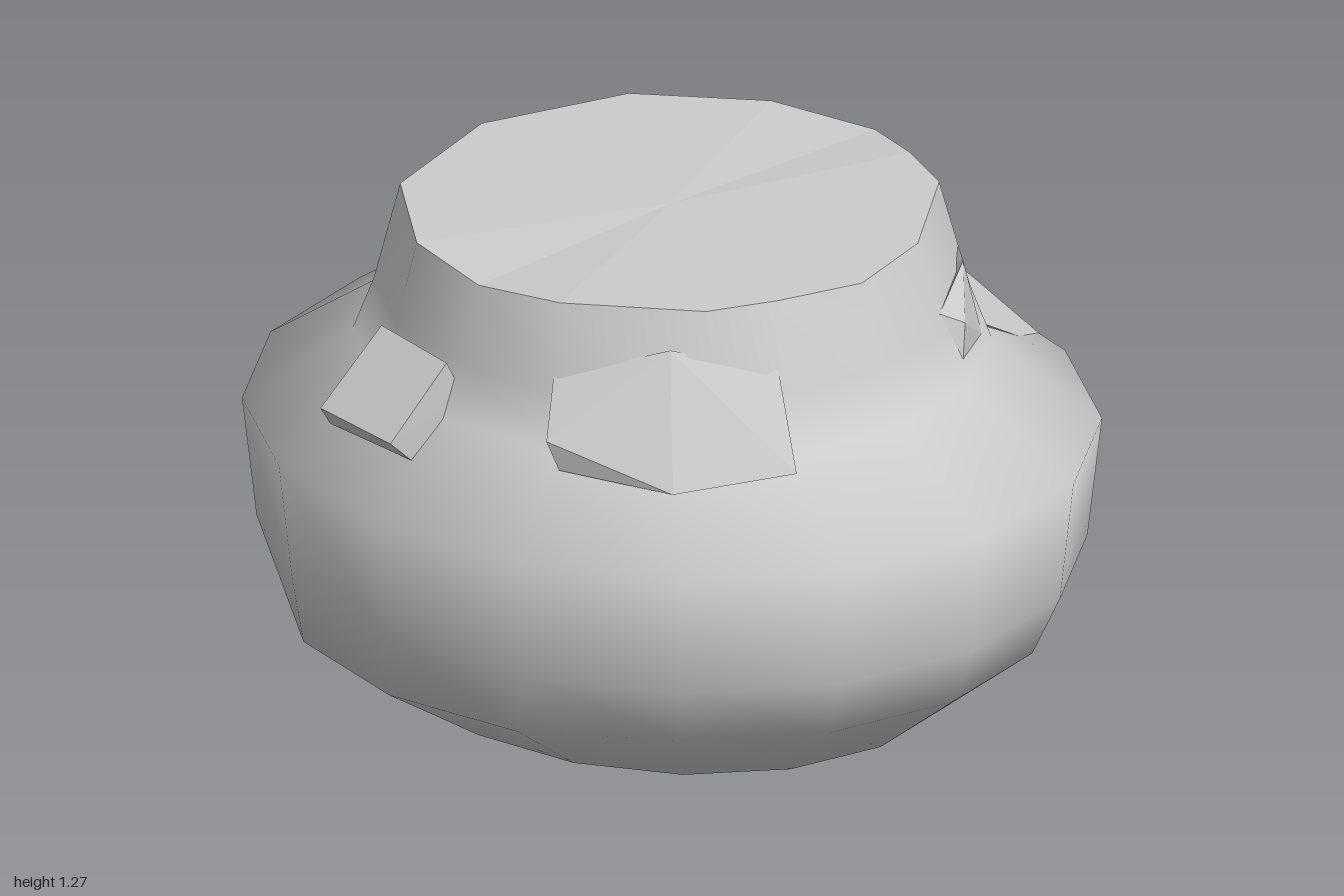
import * as THREE from 'three';
import { ConvexGeometry } from 'three/addons/geometries/ConvexGeometry.js';

const material = new THREE.MeshStandardMaterial({ color: 0xcccccc });
const flat = new THREE.MeshStandardMaterial({ color: 0xcccccc, flatShading: true });
const SIDES = 16;

// Elliptical ring, starting at the back and running towards +x
function ring(y, rx, rz) {
  return Array.from({ length: SIDES }, (_, i) => {
    const a = (i / SIDES) * Math.PI * 2;
    return [rx * Math.sin(a), y, -rz * Math.cos(a)];
  });
}

// Smooth skin from a bottom point through a stack of rings
function loft(rings) {
  const pos = [0, 0, 0, ...rings.flat(2)];
  const index = [];
  for (let i = 0; i < SIDES; i++) {
    const j = (i + 1) % SIDES;
    index.push(0, 1 + i, 1 + j);
    for (let r = 0; r < rings.length - 1; r++) {
      const a = 1 + r * SIDES, b = a + SIDES;
      index.push(a + i, b + i, b + j, a + i, b + j, a + j);
    }
  }
  const g = new THREE.BufferGeometry();
  g.setAttribute('position', new THREE.Float32BufferAttribute(pos, 3));
  g.setIndex(index);
  g.computeVertexNormals();
  return g;
}

// Faceted ridge: a convex piece between each pair of neighbouring sections
function ridge(name, sections) {
  const group = new THREE.Group();
  group.name = name;
  for (let i = 0; i < sections.length - 1; i++) {
    const pts = [...sections[i], ...sections[i + 1]].map((p) => new THREE.Vector3(...p));
    const mesh = new THREE.Mesh(new ConvexGeometry(pts), flat);
    mesh.name = name + 'Piece';
    group.add(mesh);
  }
  return group;
}

export function createModel() {
  const model = new THREE.Group();
  model.name = 'pot';

  // Irregular rim outline, back point first
  const rim = [
    [0, -0.61], [0.175, -0.555], [0.35, -0.5], [0.55, -0.25],
    [0.63, 0], [0.575, 0.17], [0.51, 0.33], [0.24, 0.54],
    [0, 0.61], [-0.2, 0.55], [-0.36, 0.48], [-0.56, 0.22],
    [-0.6, 0], [-0.56, -0.24], [-0.36, -0.5], [-0.18, -0.555],
  ].map(([x, z]) => [x, Math.abs(x) > 0.59 ? 1.255 : 1.27, z]);

  // Belly and neck; the lower belly bulges a little on the -x side
  const lower = ring(0.34, 0.82, 0.9);
  for (const i of [11, 12, 13]) lower[i][0] *= 1.07;
  const body = new THREE.Mesh(loft([
    ring(0.157, 0.6, 0.67),
    lower,
    ring(0.485, 0.888, 0.967),
    ring(0.77, 0.92, 1),
    ring(0.955, 0.7, 0.725),
    ring(1.08, 0.655, 0.675),
    rim,
  ]), material);
  body.name = 'body';
  model.add(body);

  // Flat lid closing the neck
  const lidPoints = [];
  for (let i = 0; i < SIDES; i++) lidPoints.push(0, 1.27, 0, ...rim[(i + 1) % SIDES], ...rim[i]);
  const lidGeometry = new THREE.BufferGeometry();
  lidGeometry.setAttribute('position', new THREE.Float32BufferAttribute(lidPoints, 3));
  lidGeometry.computeVertexNormals();
  const lid = new THREE.Mesh(lidGeometry, flat);
  lid.name = 'lid';
  model.add(lid);

  // Bent plate on the front right of the neck
  model.add(ridge('frontPlate', [
    [[-0.69, 1.0, 0.31], [-0.6, 1.11, 0.24], [-0.67, 0.93, 0.33], [-0.55, 0.98, 0.25]],
    [[-0.55, 0.91, 0.57], [-0.44, 1.19, 0.45], [-0.4, 0.95, 0.45]],
    [[-0.31, 0.935, 0.72], [-0.25, 1.13, 0.6], [-0.27, 0.96, 0.62]],
  ]));

  // Small slab standing out on the right side
  model.add(ridge('sideSlab', [
    [[-0.855, 0.94, -0.02], [-0.69, 1.09, -0.01], [-0.79, 0.88, -0.02], [-0.64, 1.0, -0.01]],
    [[-0.83, 0.94, -0.27], [-0.65, 1.09, -0.26], [-0.78, 0.88, -0.29], [-0.64, 1.0, -0.27]],
  ]));

  // Faceted band on the front left of the neck
  model.add(ridge('frontBand', [
    [[0.24, 1.12, 0.61], [0.31, 1.08, 0.62], [0.28, 0.95, 0.64]],
    [[0.42, 1.16, 0.5], [0.45, 0.98, 0.53], [0.38, 1.0, 0.42]],
    [[0.61, 1.14, 0.25], [0.64, 1.0, 0.27], [0.52, 1.0, 0.2]],
    [[0.64, 1.06, -0.1], [0.72, 0.96, -0.05], [0.58, 1.0, -0.1]],
  ]));

  // Pointed flap spreading down onto the shoulder
  model.add(ridge('shoulderFlap', [
    [[0.5, 0.975, 0.48], [0.64, 1.0, 0.27], [0.5, 0.85, 0.3]],
    [[0.84, 0.77, 0.375]],
    [[0.73, 0.95, -0.05], [0.64, 1.0, 0.27], [0.6, 0.85, 0]],
  ]));

  // Thin ledge running round the back left of the neck
  model.add(ridge('backLedge', [
    [[0.73, 0.94, -0.05], [0.65, 1.06, -0.08], [0.6, 0.93, -0.05]],
    [[0.695, 0.965, -0.34], [0.62, 1.05, -0.28], [0.7, 0.935, -0.34], [0.55, 0.93, -0.27]],
    [[0.555, 0.965, -0.54], [0.49, 1.05, -0.46], [0.56, 0.935, -0.54], [0.45, 0.93, -0.4]],
    [[0.31, 0.97, -0.695], [0.27, 1.05, -0.62], [0.31, 0.935, -0.7], [0.25, 0.93, -0.5]],
    [[0, 0.95, -0.73], [0, 1.06, -0.67], [0, 0.93, -0.55]],
  ]));

  return model;
}
